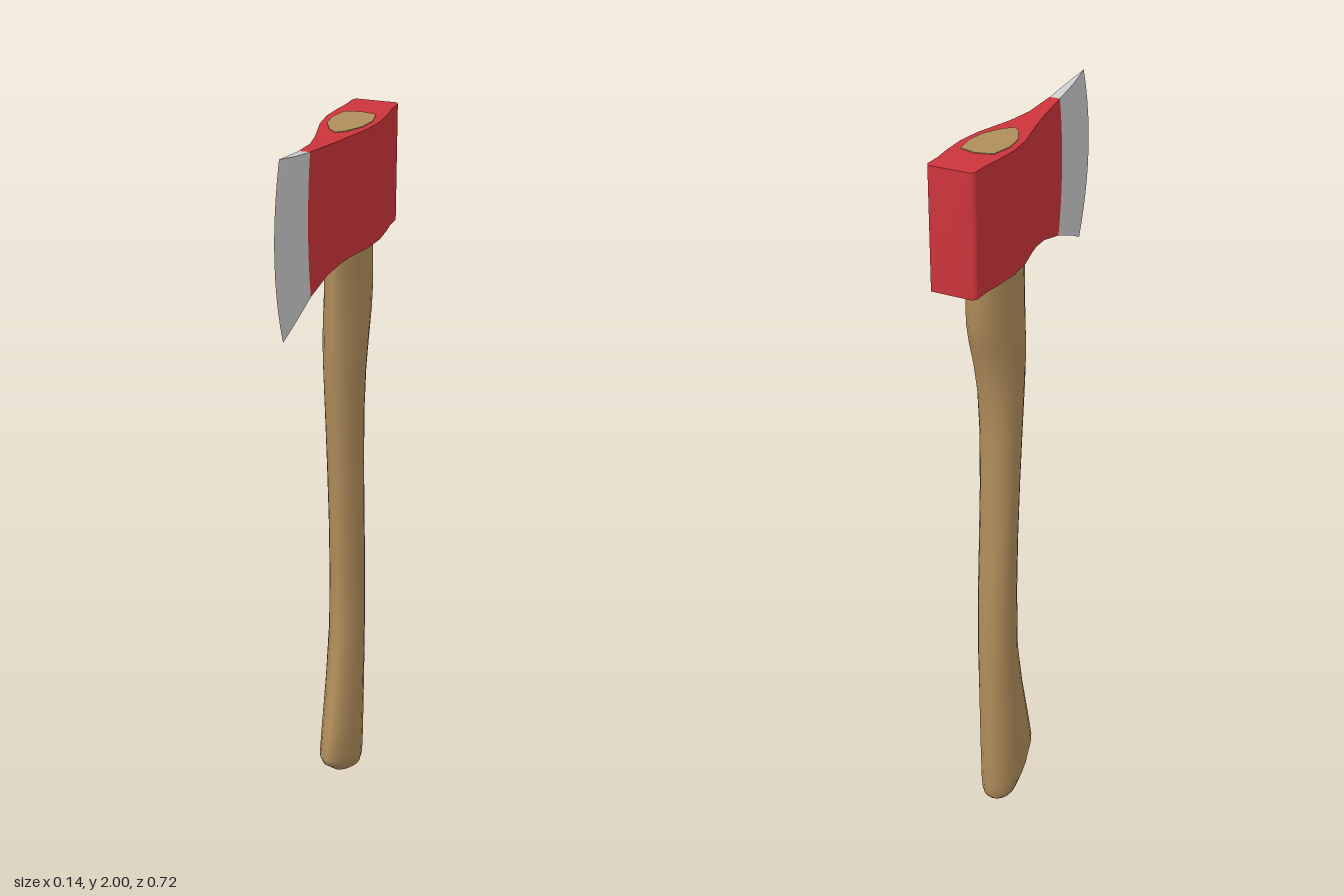
import * as THREE from 'three';
import { mergeVertices } from 'three/addons/utils/BufferGeometryUtils.js';

// Smooth surface through points fn(i, j); it faces the direction di x dj.
function grid(ni, nj, fn) {
  const pos = [], idx = [];
  for (let i = 0; i <= ni; i++) for (let j = 0; j <= nj; j++) pos.push(...fn(i, j));
  for (let i = 0; i < ni; i++) for (let j = 0; j < nj; j++) {
    const a = i * (nj + 1) + j, b = a + nj + 1;
    idx.push(a, b, a + 1, b, b + 1, a + 1);
  }
  let g = new THREE.BufferGeometry();
  g.setAttribute('position', new THREE.Float32BufferAttribute(pos, 3));
  g.setIndex(idx);
  g = mergeVertices(g, 1e-5);
  g.computeVertexNormals();
  return g;
}

// Head stations: z, half width, top y, bottom y, forward bulge
const HEAD = [
  [-0.357, 0.056, 1.96, 1.65, 0],
  [-0.345, 0.062, 1.96, 1.65, 0],
  [-0.30, 0.062, 1.96, 1.65, 0],
  [-0.25, 0.068, 1.96, 1.65, 0],
  [-0.18, 0.072, 1.96, 1.65, 0],
  [-0.11, 0.064, 1.96, 1.65, 0],
  [-0.04, 0.046, 1.96, 1.65, 0],
  [0.00, 0.036, 1.96, 1.647, 0],
  [0.07, 0.022, 1.963, 1.636, 0.006],
  [0.165, 0.014, 1.973, 1.612, 0.016],
  [0.25, 0.009, 1.986, 1.58, 0.03],
  [0.32, 0, 2.0, 1.55, 0.042],
];
const SEAM = 9, EDGE = 11, NV = 10;

function headPoint(i, j, side) {
  const [z, w, top, bottom, bulge] = HEAD[i], v = j / NV, s = 2 * v - 1;
  const lean = i === EDGE ? 0.005 * s : 0;
  return [side * w, bottom + (top - bottom) * v, z + lean + bulge * (1 - s * s)];
}

// Handle rings, top down: front y, front z, back y, back z, half width
const HANDLE = [
  [1.70, -0.02, 1.70, -0.255, 0.05],
  [1.60, -0.02, 1.60, -0.255, 0.052],
  [1.52, -0.021, 1.52, -0.253, 0.054],
  [1.46, -0.022, 1.46, -0.236, 0.056],
  [1.39, -0.024, 1.39, -0.212, 0.056],
  [1.30, -0.031, 1.30, -0.194, 0.053],
  [1.18, -0.043, 1.18, -0.186, 0.05],
  [1.02, -0.057, 1.02, -0.19, 0.048],
  [0.85, -0.068, 0.85, -0.201, 0.047],
  [0.68, -0.073, 0.68, -0.213, 0.047],
  [0.50, -0.07, 0.50, -0.215, 0.048],
  [0.34, -0.038, 0.34, -0.215, 0.05],
  [0.21, -0.003, 0.20, -0.214, 0.052],
  [0.12, 0.02, 0.06, -0.211, 0.053],
  [0.088, 0.0, 0.022, -0.207, 0.05],
  [0.03, -0.065, 0.007, -0.195, 0.042],
  [0.004, -0.13, 0.004, -0.13, 0],
];

export function createModel() {
  const model = new THREE.Group();
  const red = new THREE.MeshStandardMaterial({ color: 0xcc343b });
  const steel = new THREE.MeshStandardMaterial({ color: 0xcccccc });
  const wood = new THREE.MeshStandardMaterial({ color: 0xb08d5b });
  red.name = 'red paint';
  steel.name = 'bare steel';
  wood.name = 'wood';
  const add = (name, geometry, material, parent = model) => {
    const mesh = new THREE.Mesh(geometry, material);
    mesh.name = name;
    parent.add(mesh);
    return mesh;
  };

  // Handle: egg-shaped rings, narrower towards the front
  const SIDES = 20;
  add('handle', grid(HANDLE.length - 1, SIDES, (i, j) => {
    const [yf, zf, yb, zb, w] = HANDLE[i];
    const a = ((j % SIDES) / SIDES) * Math.PI * 2, c = Math.cos(a);
    const k = (1 + c) / 2;
    return [w * Math.sin(a) * (1 - 0.18 * c), yb + (yf - yb) * k, zb + (zf - zb) * k];
  }), wood);

  // Painted body and bare cutting bit, each with two cheeks, a top and a bottom
  const section = (name, first, last, material, sideFirst = first) => {
    const group = new THREE.Group();
    group.name = name;
    model.add(group);
    const n = last - first, m = last - sideFirst;
    const strip = (j) => (i, k) => headPoint(first + i, j, k - 1);
    add('leftCheek', grid(NV, m, (i, j) => headPoint(sideFirst + j, i, 1)), material, group);
    add('rightCheek', grid(m, NV, (i, j) => headPoint(sideFirst + i, j, -1)), material, group);
    add('topFace', grid(n, 2, strip(NV)), material, group);
    add('bottomFace', grid(n, 2, (i, k) => strip(0)(i, 2 - k)), material, group);
    return group;
  };
  const body = section('headBody', 0, SEAM, red, 1);
  section('cuttingBit', SEAM, EDGE, steel);

  // Poll: slightly domed back with narrow chamfers
  const poll = [[-0.062, -0.345], [-0.056, -0.357], [0, -0.357], [0.056, -0.357], [0.062, -0.345]];
  add('poll', grid(NV, 4, (i, j) => {
    const s = (2 * i) / NV - 1;
    const dome = j === 2 ? 0.005 * (1 - s * s) : 0;
    return [poll[j][0], 1.65 + 0.31 * (i / NV), poll[j][1] - dome];
  }), red, body);

  // End of the handle showing in the eye of the head
  const half = [[0, -0.24], [0.043, -0.228], [0.054, -0.17], [0.047, -0.115], [0.022, -0.065], [0, -0.045]];
  const outline = [...half, ...half.slice(1, -1).reverse().map(([x, z]) => [-x, z])];
  const shape = new THREE.Shape(outline.map(([x, z]) => new THREE.Vector2(x, -z)));
  const plug = new THREE.ExtrudeGeometry(shape, { depth: 0.004, bevelEnabled: false });
  plug.rotateX(-Math.PI / 2);
  add('handleEnd', plug, wood).position.y = 1.958;

  return model;
}
